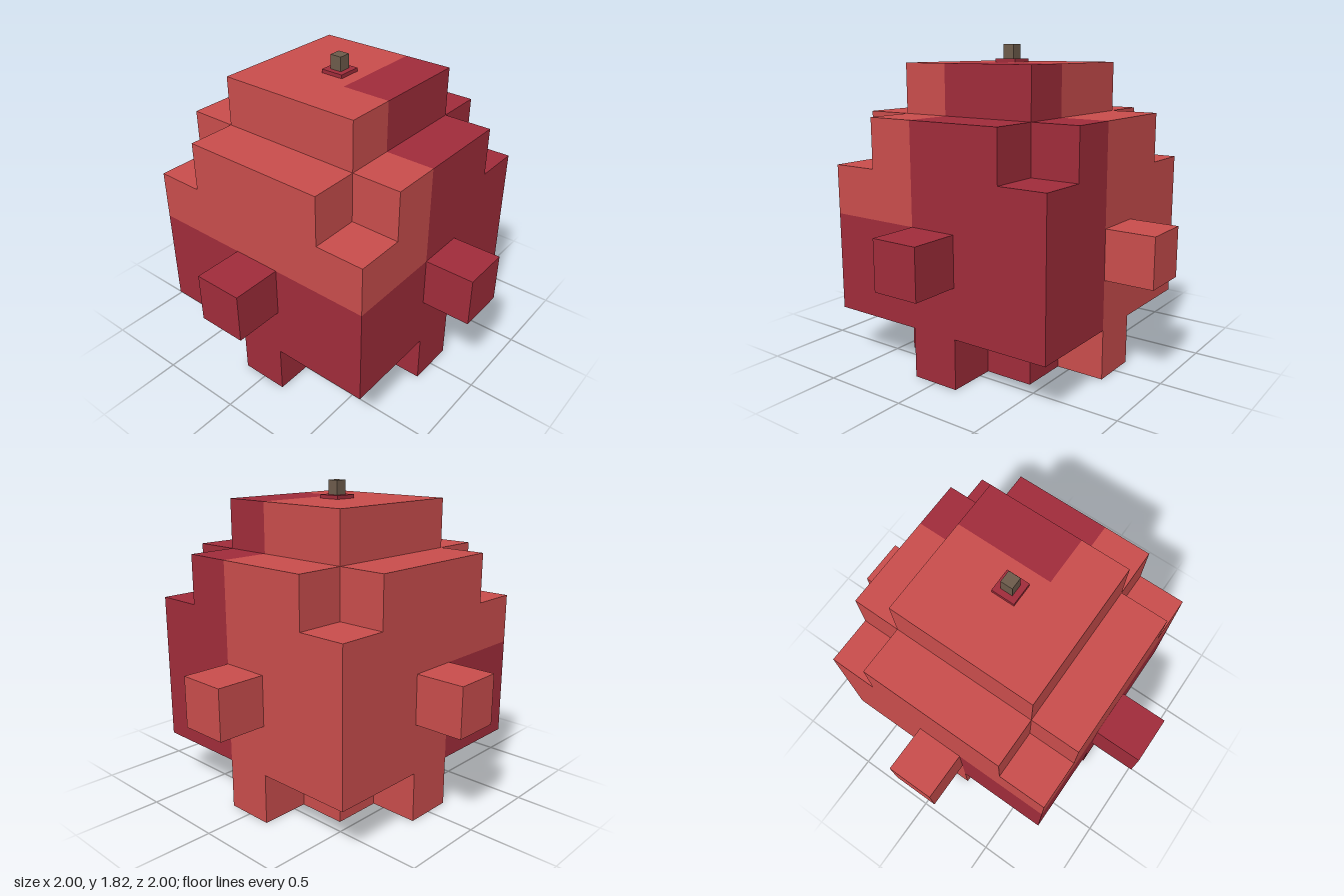
import * as THREE from 'three';

const U = 2 / 7; // edge of one cube cell

export function createModel() {
  const model = new THREE.Group();
  model.name = 'blockFruit';

  const mat = (name, color) => {
    const m = new THREE.MeshStandardMaterial({ color });
    m.name = name;
    return m;
  };
  const light = mat('lightRed', 0xc94d4c);
  const dark = mat('darkRed', 0xa02c3a);
  const brown = mat('stemBrown', 0x6d5b4b);

  const box = (parent, name, material, min, max) => {
    const size = max.map((v, i) => v - min[i]);
    const mesh = new THREE.Mesh(new THREE.BoxGeometry(...size), material);
    mesh.position.set(...min.map((v, i) => v + size[i] / 2));
    mesh.name = name;
    parent.add(mesh);
  };

  // Colour patches of the skin, as boxes in cell units
  const patches = [
    { material: dark, min: [-0.5, 0, 0.5], max: [9, 9, 9] },
    { material: dark, min: [-9, 0, -9], max: [-0.5, 3, 9] },
    { material: light, min: [-0.5, 0, -9], max: [9, 9, 0.5] },
    { material: light, min: [-9, 3, -9], max: [-0.5, 9, 9] },
  ];

  // A block in cell units, split along the colour patches
  const block = (name, min, max) => {
    const part = new THREE.Group();
    part.name = name;
    for (const p of patches) {
      const lo = min.map((v, i) => Math.max(v, p.min[i]));
      const hi = max.map((v, i) => Math.min(v, p.max[i]));
      if (lo.every((v, i) => v < hi[i])) {
        box(part, name + 'Patch', p.material, lo.map(v => v * U), hi.map(v => v * U));
      }
    }
    model.add(part);
  };

  // Main body, shoulders and crown
  block('body', [-2.5, 1, -2.5], [2.5, 4, 2.5]);
  block('shoulderCentre', [-1.5, 4, -2.5], [1.5, 5, 2.5]);
  block('crown', [-1.5, 5, -1.5], [1.5, 6, 1.5]);

  // Stepped diamond base
  block('baseCentre', [-2.5, 0, -0.5], [2.5, 1, 0.5]);

  for (const s of [-1, 1]) {
    const span = (a, b) => (s > 0 ? [a, b] : [-b, -a]);
    const [s0, s1] = span(1.5, 2.5);
    const [i0, i1] = span(0.5, 1.5);
    const [k0, k1] = span(2.5, 3.5);
    block('shoulderSide', [s0, 4, -1.5], [s1, 5, 1.5]);
    block('baseStep', [-1.5, 0, i0], [1.5, 1, i1]);
    block('baseTip', [-0.5, 0, s0], [0.5, 1, s1]);
    // Knobs sticking out of the four sides
    block('sideKnob', [k0, 2, -0.5], [k1, 3, 0.5]);
    block('endKnob', [-0.5, 2, k0], [0.5, 3, k1]);
  }

  // Stem on its small plate
  const top = 6 * U;
  box(model, 'stemPlate', dark, [-0.068, top, -0.068], [0.068, top + 0.021, 0.068]);
  box(model, 'stem', brown, [-0.035, top + 0.021, -0.035], [0.035, 1.817, 0.035]);

  return model;
}
